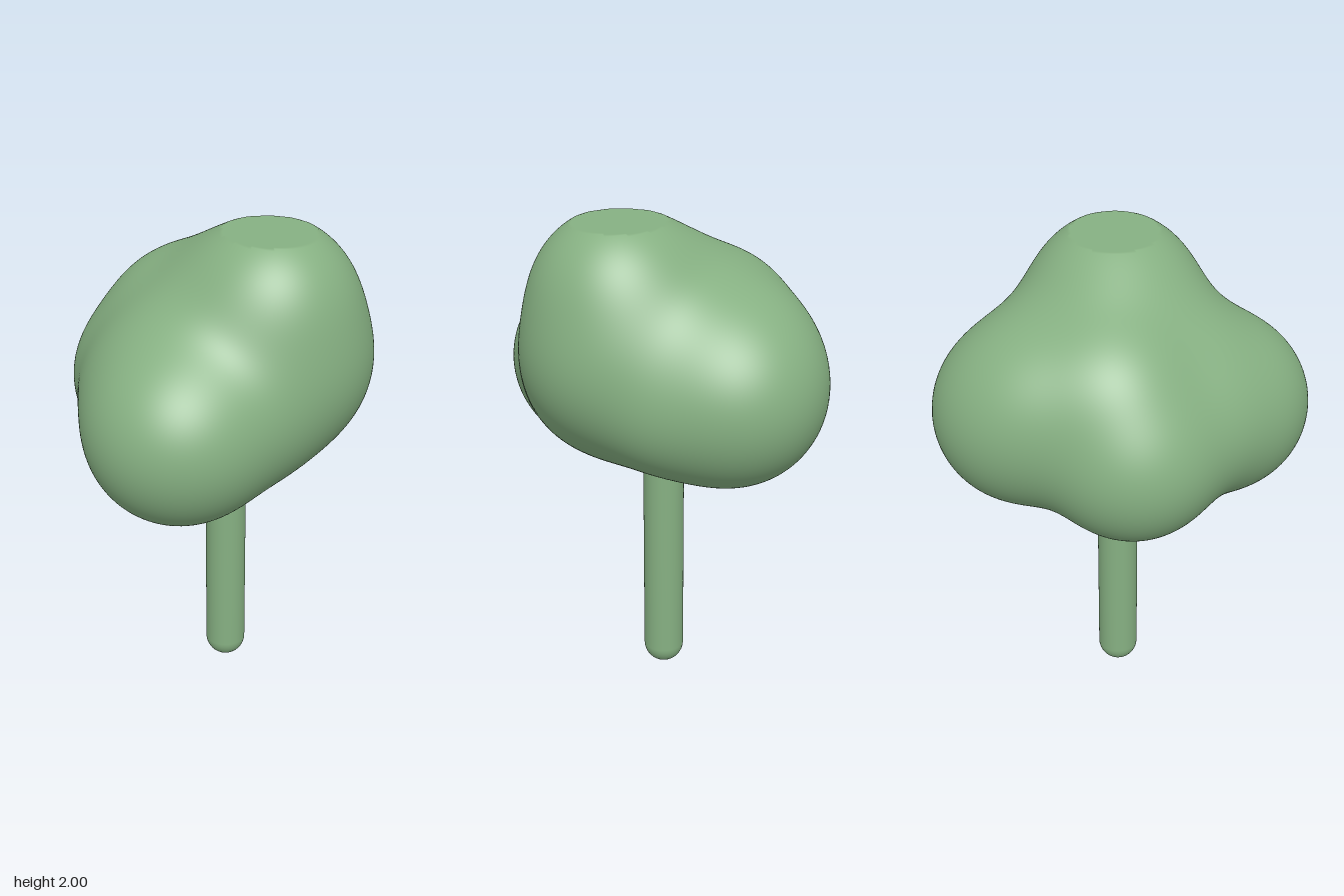
import * as THREE from 'three';

// Overlapping balls that melt together into the crown: x, y, z, radius
const LOBES = [
  [-0.36, 1.30, 0.19, 0.36],   // front, right-hand side
  [0.36, 1.37, -0.16, 0.355],  // left side
  [0.25, 1.45, -0.185, 0.325], // left shoulder
  [-0.10, 1.30, -0.26, 0.34],  // back
  [0.00, 1.52, -0.19, 0.305],  // back slope
  [0.11, 1.48, 0.22, 0.37],    // front
  [-0.08, 1.35, 0.20, 0.33],   // front, lower
  [-0.20, 1.45, 0.05, 0.30],   // right-hand slope
  [0.08, 1.72, 0.22, 0.325],   // peak
  [0.07, 1.29, 0.03, 0.28],    // core
  [0.33, 1.34, 0.08, 0.235],   // filler, front to left side
  [0.25, 1.53, 0.02, 0.22],    // filler, peak to left shoulder
  [-0.30, 1.35, -0.04, 0.25],  // filler, right-hand side to back
  [0.05, 1.68, 0.00, 0.21],    // filler, behind the peak
  [-0.08, 1.62, 0.10, 0.21],   // filler, right of the peak
];
const BLEND = 0.06;
const TOP = 2;

// Smooth union of the lobes, as a signed distance
function field(p) {
  let sum = 0;
  for (const [x, y, z, r] of LOBES) {
    sum += Math.exp((r - Math.hypot(p.x - x, p.y - y, p.z - z)) / BLEND);
  }
  return -BLEND * Math.log(sum);
}

function gradient(p) {
  const e = 0.002;
  const slope = (axis) => {
    const a = p.clone(), b = p.clone();
    a[axis] += e;
    b[axis] -= e;
    return field(a) - field(b);
  };
  return new THREE.Vector3(slope('x'), slope('y'), slope('z')).normalize();
}

// Shrink-wrap a sphere onto the lobes and slice it flat at the top
function crownGeometry() {
  const geo = new THREE.SphereGeometry(1, 200, 180);
  const centre = new THREE.Vector3(0.05, 1.42, 0.04);
  // Aim the pole at the middle of the flat top, so its rim follows the rings
  const pole = new THREE.Vector3(0.08, TOP, 0.22).sub(centre).normalize();
  geo.applyQuaternion(new THREE.Quaternion().setFromUnitVectors(new THREE.Vector3(0, 1, 0), pole));
  const pos = geo.attributes.position;
  const nor = geo.attributes.normal;
  const dir = new THREE.Vector3();
  const p = new THREE.Vector3();
  for (let i = 0; i < pos.count; i++) {
    dir.fromBufferAttribute(pos, i).normalize();
    let r = 1.1;
    for (let k = 0; k < 40; k++) {
      const d = field(p.copy(centre).addScaledVector(dir, r));
      r -= d;
      if (Math.abs(d) < 1e-4) break;
    }
    p.copy(centre).addScaledVector(dir, r);
    let n;
    if (p.y > TOP) {
      p.copy(centre).addScaledVector(dir, (TOP - centre.y) / dir.y);
      n = new THREE.Vector3(0, 1, 0);
    } else {
      n = gradient(p);
    }
    pos.setXYZ(i, p.x, p.y, p.z);
    nor.setXYZ(i, n.x, n.y, n.z);
  }
  return geo;
}

// Round-ended stem that flares slightly into the crown
function trunkGeometry() {
  const R = 0.084;
  const pts = [];
  for (let i = 0; i <= 10; i++) {
    const a = (i / 10) * Math.PI / 2;
    pts.push(new THREE.Vector2(R * Math.sin(a), R - R * Math.cos(a)));
  }
  pts.push(new THREE.Vector2(R, 0.5), new THREE.Vector2(R, 0.95));
  for (let i = 1; i <= 6; i++) {
    const a = (i / 6) * Math.PI / 2;
    pts.push(new THREE.Vector2(R + 0.025 * (1 - Math.cos(a)), 0.95 + 0.05 * Math.sin(a)));
  }
  pts.push(new THREE.Vector2(R + 0.025, 1.08));
  return new THREE.LatheGeometry(pts, 48);
}

export function createModel() {
  const group = new THREE.Group();
  const green = new THREE.MeshStandardMaterial({ color: 0x86b082 });

  const crown = new THREE.Mesh(crownGeometry(), green);
  crown.name = 'crown';

  const trunk = new THREE.Mesh(trunkGeometry(), green);
  trunk.name = 'trunk';
  trunk.position.set(0.025, 0, 0.02);

  group.add(crown, trunk);
  return group;
}
